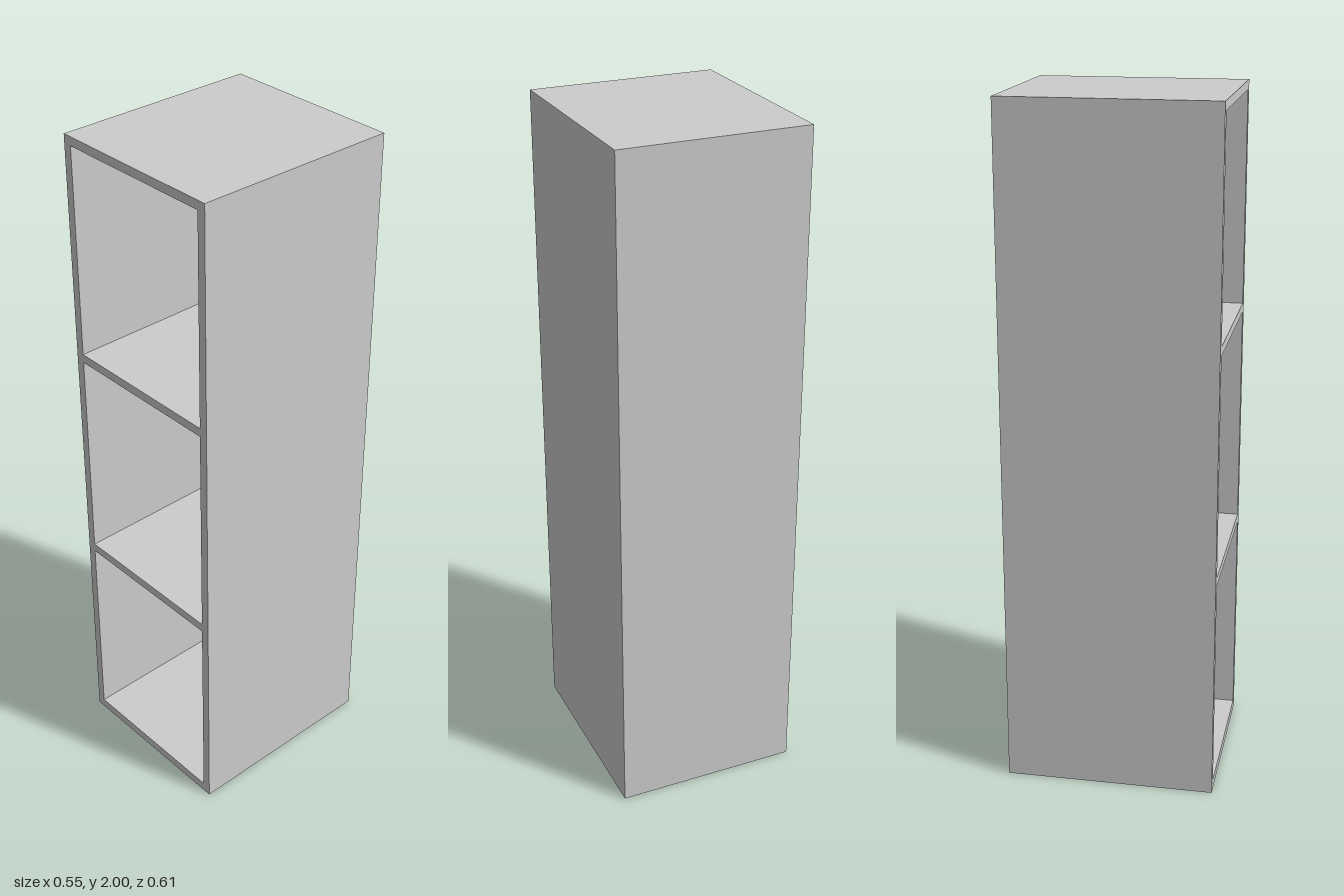
import * as THREE from 'three';

const WIDTH = 0.546, HEIGHT = 2, DEPTH = 0.613;
const BOARD = 0.026, BACK = 0.025;

// Counter-clockwise rectangle outline
function rectangle(target, x0, y0, x1, y1) {
  target.moveTo(x0, y0);
  target.lineTo(x1, y0);
  target.lineTo(x1, y1);
  target.lineTo(x0, y1);
  target.closePath();
  return target;
}

export function createModel() {
  const group = new THREE.Group();
  group.name = 'openShelfCabinet';
  const material = new THREE.MeshStandardMaterial({ color: 0xcccccc });
  const w = WIDTH / 2;

  // Carcass: sides, top, bottom and two shelves around three open bays
  const outline = rectangle(new THREE.Shape(), -w, 0, w, HEIGHT);
  const bays = [[0.028, 0.651], [0.677, 1.324], [1.35, 1.974]];
  for (const [bottom, top] of bays) {
    outline.holes.push(rectangle(new THREE.Path(), -w + BOARD, bottom, w - BOARD, top));
  }
  const carcass = new THREE.Mesh(
    new THREE.ExtrudeGeometry(outline, { depth: DEPTH - BACK, bevelEnabled: false }), material);
  carcass.name = 'carcassWithShelves';
  carcass.position.z = -DEPTH / 2 + BACK;
  group.add(carcass);

  // Back panel closing all bays
  const back = new THREE.Mesh(new THREE.BoxGeometry(WIDTH, HEIGHT, BACK), material);
  back.name = 'backPanel';
  back.position.set(0, HEIGHT / 2, -DEPTH / 2 + BACK / 2);
  group.add(back);

  return group;
}
